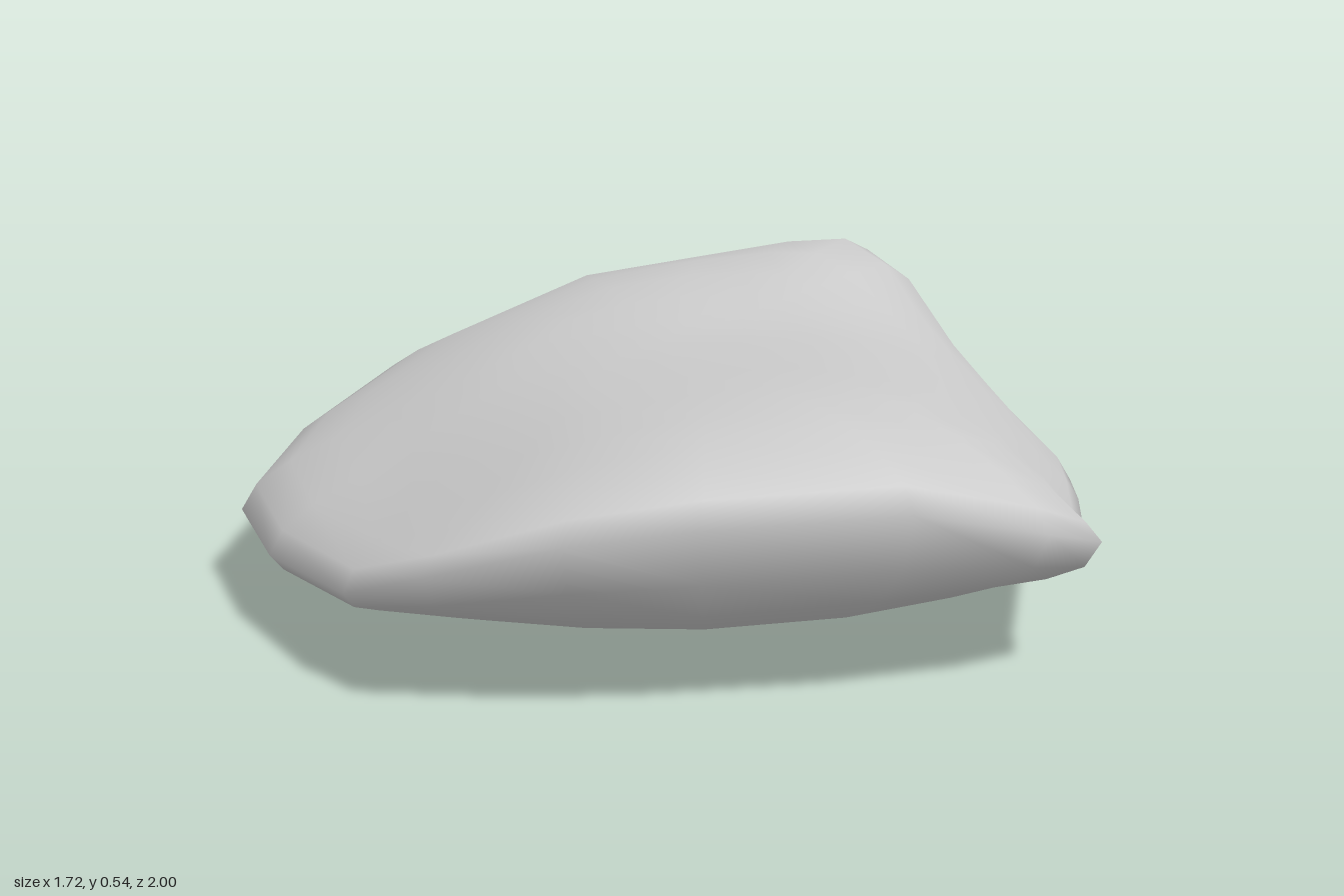
import * as THREE from 'three';

// Widest outline of the stone: x, z and the height of the rim there
const RIM = [
  [-0.86, 0.02, 0.15], [-0.78, 0.36, 0.15], [-0.62, 0.72, 0.18], [-0.47, 0.93, 0.27],
  [-0.22, 0.99, 0.34], [0.02, 1.0, 0.37], [0.4, 0.95, 0.38], [0.66, 0.84, 0.31],
  [0.77, 0.75, 0.27], [0.77, 0.57, 0.23], [0.82, 0.2, 0.2], [0.86, -0.14, 0.15],
  [0.79, -0.45, 0.18], [0.74, -0.6, 0.19], [0.66, -0.93, 0.24], [0.57, -0.99, 0.33],
  [0.4, -0.97, 0.35], [0.2, -1.0, 0.36], [-0.16, -0.97, 0.35], [-0.6, -0.69, 0.24],
  [-0.78, -0.34, 0.18],
];
const N = RIM.length;

// Rounder outline that the inner rings blend towards
const SOFT = RIM.map((_, i) => [0, 1, 2].map((k) => {
  let sum = 0;
  for (let d = -1; d <= 1; d++) sum += RIM[(i + d + N) % N][k];
  return sum / 3;
}));

// Crown height from left to right: x, y
const CROWN = [
  [-0.9, 0.28], [-0.78, 0.31], [-0.55, 0.37], [-0.4, 0.42], [-0.2, 0.47], [0, 0.49],
  [0.3, 0.5], [0.45, 0.485], [0.56, 0.46], [0.68, 0.4], [0.78, 0.32], [0.9, 0.24],
];

function crownAt(x) {
  const i = Math.max(1, CROWN.findIndex((p) => p[0] >= x));
  const [x0, y0] = CROWN[i - 1], [x1, y1] = CROWN[i];
  return THREE.MathUtils.mapLinear(x, x0, x1, y0, y1);
}

const bump = (x, z, cx, cz, r) => Math.exp(-((x - cx) ** 2 + (z - cz) ** 2) / (r * r));

// Upper surface: raised back corner, gentle swells at back and front, low front left side
const topAt = (x, z) => crownAt(x)
  + 0.13 * bump(x, z, 0.54, -0.88, 0.3)
  + 0.04 * bump(x, z, 0, -0.68, 0.45)
  + 0.03 * bump(x, z, 0.25, 0.75, 0.4)
  - 0.02 * bump(x, z, 0.3, -0.2, 0.35)
  - 0.07 * bump(x, z, -0.6, 0.65, 0.4);

// Lower surface: one low point, fuller back right, undercut front corners
const bottomAt = (x, z) => 0.06
  - 0.055 * bump(x, z, 0.25, -0.25, 0.24)
  - 0.03 * bump(x, z, 0.5, -0.7, 0.3)
  + 0.04 * bump(x, z, -0.45, 0.85, 0.3)
  + 0.06 * bump(x, z, 0.68, 0.75, 0.3);

function stoneGeometry() {
  const scales = [0.18, 0.36, 0.52, 0.67, 0.8, 0.9, 0.97];
  const rings = [
    ...scales.map((s) => [s, topAt]),
    [1, topAt],
    ...scales.slice().reverse().map((s) => [s, bottomAt]),
  ];
  const pos = [0, topAt(0, 0), 0];
  const index = [];

  // Shrinking copies of the outline, rounded off towards the rim
  for (const [s, surface] of rings) {
    const f = Math.sqrt(1 - s ** 4.5);
    const soft = Math.min(1, 3 * (1 - s));
    RIM.forEach((rim, i) => {
      const [rx, rz, ry] = rim.map((v, k) => THREE.MathUtils.lerp(v, SOFT[i][k], soft));
      const x = rx * s, z = rz * s;
      pos.push(x, ry + (surface(x, z) - ry) * f, z);
    });
  }
  pos.push(0, bottomAt(0, 0), 0);

  // Join the rings, with a fan at each pole
  const last = 1 + rings.length * N;
  const at = (j, i) => 1 + j * N + (i % N);
  for (let i = 0; i < N; i++) {
    index.push(0, at(0, i), at(0, i + 1));
    for (let j = 0; j < rings.length - 1; j++) {
      const a = at(j, i), b = at(j + 1, i), c = at(j + 1, i + 1), d = at(j, i + 1);
      index.push(a, b, c, a, c, d);
    }
    index.push(at(rings.length - 1, i), last, at(rings.length - 1, i + 1));
  }

  const g = new THREE.BufferGeometry();
  g.setAttribute('position', new THREE.Float32BufferAttribute(pos, 3));
  g.setIndex(index);
  g.computeBoundingBox();
  g.translate(0, -g.boundingBox.min.y, 0);
  g.computeVertexNormals();
  return g;
}

export function createModel() {
  const group = new THREE.Group();
  group.name = 'flatRock';
  const stone = new THREE.Mesh(stoneGeometry(), new THREE.MeshStandardMaterial({ color: 0xcccccc }));
  stone.name = 'stone';
  group.add(stone);
  return group;
}
